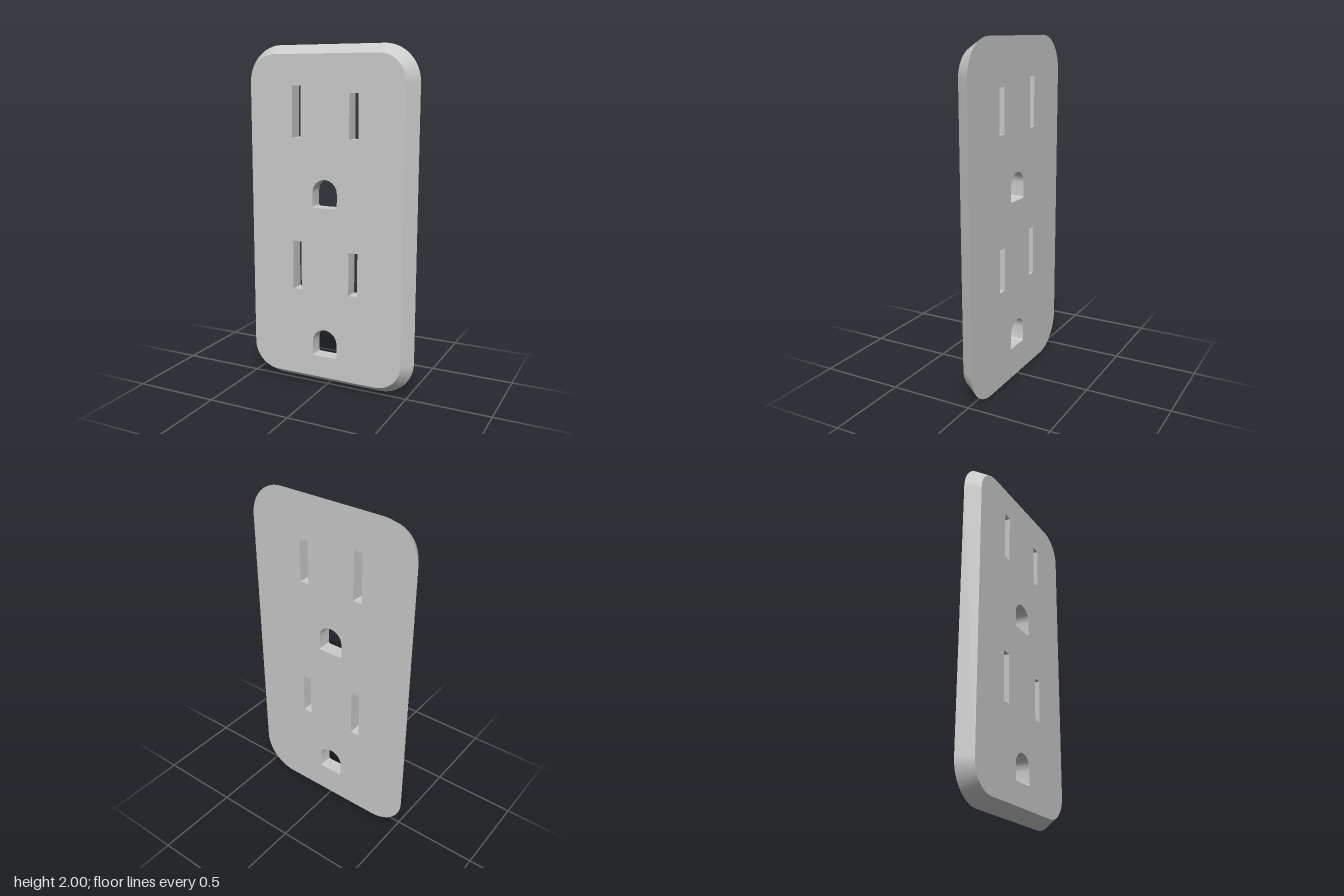
import * as THREE from 'three';
import { toCreasedNormals } from 'three/addons/utils/BufferGeometryUtils.js';

const BACK = -0.042, FRONT = 0.042;
const material = new THREE.MeshStandardMaterial({ color: 0xcccccc });

// Counter-clockwise points along an arc
function arc(cx, cy, r, start, sweep, steps) {
  return Array.from({ length: steps + 1 }, (_, i) => {
    const a = start + (sweep * i) / steps;
    return new THREE.Vector2(cx + r * Math.cos(a), cy + r * Math.sin(a));
  });
}

// Plate outline: rounded corners share their centres, only the radius changes
function plateOutline(r) {
  const q = Math.PI / 2, x = 0.32, lo = 0.21, hi = 1.79;
  return [[x, hi], [-x, hi], [-x, lo], [x, lo]]
    .flatMap(([cx, cy], i) => arc(cx, cy, r, i * q, q, 20));
}

function slot(x, bottom, top) {
  const h = 0.0275;
  return [[x - h, bottom], [x + h, bottom], [x + h, top], [x - h, top]]
    .map(([px, py]) => new THREE.Vector2(px, py));
}

// Arched ground hole with slightly eased bottom corners
function groundHole(bottom, top) {
  const w = 0.077, e = 0.01, q = Math.PI / 2;
  return [
    ...arc(0, top - w, w, 0, Math.PI, 28),
    ...arc(-w + e, bottom + e, e, Math.PI, q, 5),
    ...arc(w - e, bottom + e, e, 3 * q, q, 5),
  ];
}

// Wall joining a back loop to a front loop
function wall(backLoop, frontLoop) {
  const pos = [], n = backLoop.length;
  for (let i = 0; i < n; i++) {
    const j = (i + 1) % n;
    const a = [backLoop[i].x, backLoop[i].y, BACK], b = [backLoop[j].x, backLoop[j].y, BACK];
    const c = [frontLoop[j].x, frontLoop[j].y, FRONT], d = [frontLoop[i].x, frontLoop[i].y, FRONT];
    pos.push(...a, ...b, ...c, ...a, ...c, ...d);
  }
  const g = new THREE.BufferGeometry();
  g.setAttribute('position', new THREE.Float32BufferAttribute(pos, 3));
  return toCreasedNormals(g, 0.6);
}

// Flat face pierced by the holes
function face(outline, holes) {
  const shape = new THREE.Shape(outline);
  shape.holes = holes.map((h) => new THREE.Path(h));
  return new THREE.ShapeGeometry(shape);
}

export function createModel() {
  const group = new THREE.Group();
  group.name = 'outletPlate';
  const add = (name, geometry) => {
    const mesh = new THREE.Mesh(geometry, material);
    mesh.name = name;
    group.add(mesh);
  };

  const backOutline = plateOutline(0.21), frontOutline = plateOutline(0.157);

  // Two identical sockets, one above the other
  const openings = [];
  for (const [place, y] of [['lower', 0], ['upper', 0.897]]) {
    openings.push(
      [place + 'LongSlot', slot(-0.179, 0.583 + y, 0.875 + y)],
      [place + 'ShortSlot', slot(0.179, 0.583 + y, 0.838 + y)],
      [place + 'GroundHole', groundHole(0.185 + y, 0.35 + y)],
    );
  }
  const holes = openings.map(([, loop]) => loop);

  // Faces
  add('frontFace', face(frontOutline, holes).translate(0, 0, FRONT));
  const mirrored = (loop) => loop.map((p) => new THREE.Vector2(-p.x, p.y)).reverse();
  add('backFace', face(mirrored(backOutline), holes.map(mirrored))
    .rotateY(Math.PI).translate(0, 0, BACK));

  // Sloped rim and the inner walls of the openings
  add('slopedRim', wall(backOutline, frontOutline));
  for (const [name, loop] of openings) {
    const inward = [...loop].reverse();
    add(name + 'Wall', wall(inward, inward));
  }
  return group;
}
